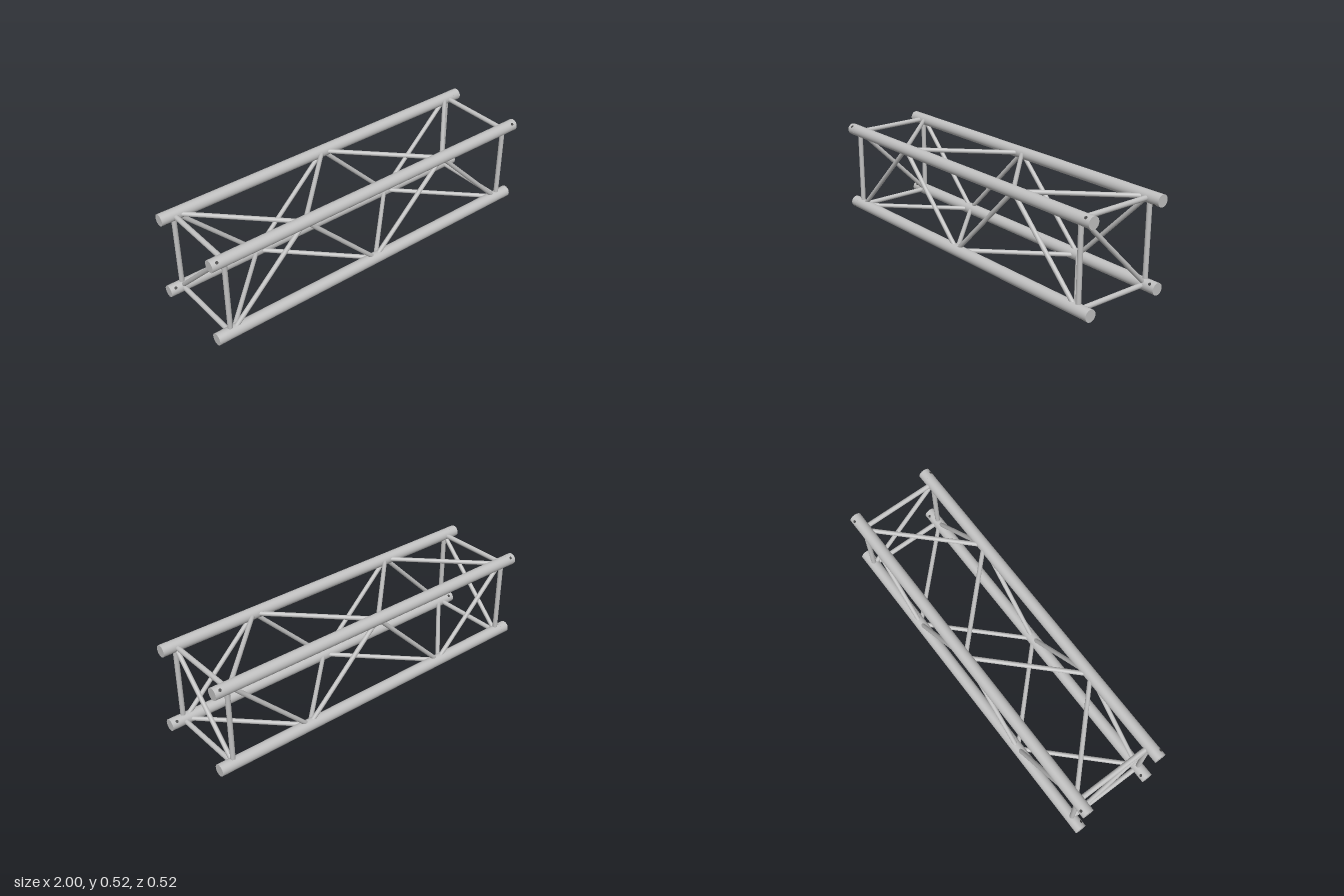
import * as THREE from 'three';

const CHORD_R = 0.032, SLEEVE_R = 0.0323, POST_R = 0.0133, LACE_R = 0.012;
const HALF = 0.2265;               // half spacing between chord axes
const MID_Y = SLEEVE_R + HALF;     // height of the truss axis
const BAY = 0.4535;                // lacing pitch
const END_X = 0.92;                // end frame position

const V = (x, y, z) => new THREE.Vector3(x, y, z);

// Round bar between two points, shortened by trim at both ends
function bar(name, a, b, radius, material, trim = 0, sides = 24) {
  const dir = b.clone().sub(a);
  const length = dir.length() - 2 * trim;
  const mesh = new THREE.Mesh(new THREE.CylinderGeometry(radius, radius, length, sides), material);
  mesh.position.copy(a).add(b).multiplyScalar(0.5);
  mesh.quaternion.setFromUnitVectors(V(0, 1, 0), dir.normalize());
  mesh.name = name;
  return mesh;
}

export function createModel() {
  const aluminium = new THREE.MeshStandardMaterial({ color: 0xc0c0c0 });
  aluminium.name = 'aluminium';
  const dark = new THREE.MeshStandardMaterial({ color: 0x484848 });
  dark.name = 'dark pin hole';

  const truss = new THREE.Group();
  truss.name = 'boxTruss';

  // Chord corners in order round the section: [y sign, z sign]
  const corners = [[1, 1], [1, -1], [-1, -1], [-1, 1]];
  const at = (x, [sy, sz]) => V(x, MID_Y + sy * HALF, sz * HALF);

  // Main chords with end sleeves and cross-drilled pin holes
  for (const c of corners) {
    truss.add(bar('chord', at(-0.952, c), at(0.952, c), CHORD_R, aluminium, 0, 40));
    for (const side of [-1, 1]) {
      truss.add(bar('endSleeve', at(side * 0.949, c), at(side, c), SLEEVE_R, aluminium, 0, 40));
      const out = V(0, c[0], c[1]).normalize().multiplyScalar(SLEEVE_R + 0.0006);
      const centre = at(side * 0.97, c);
      truss.add(bar('pinHole', centre.clone().sub(out), centre.clone().add(out), 0.008, dark, 0, 16));
    }
  }

  // End frames: four posts and one diagonal each
  for (const side of [-1, 1]) {
    const x = side * END_X;
    corners.forEach((c, i) => {
      truss.add(bar('endPost', at(x, c), at(x, corners[(i + 1) % 4]), POST_R, aluminium, 0.0315));
    });
    truss.add(bar('endDiagonal', at(x, corners[0]), at(x, corners[2]), LACE_R, aluminium, 0.0315));
  }

  // Zigzag lacing on all four faces; alternate chords carry alternate nodes
  corners.forEach((c, face) => {
    const next = corners[(face + 1) % 4];
    for (let i = -2; i < 2; i++) {
      const startsHere = (face + i) % 2 !== 0;
      const [a, b] = startsHere ? [c, next] : [next, c];
      // first and third chords have nodes at odd stations, the others at even ones
      truss.add(bar('lacing', at(i * BAY, a), at((i + 1) * BAY, b), LACE_R, aluminium, 0.03));
    }
  });

  return truss;
}
